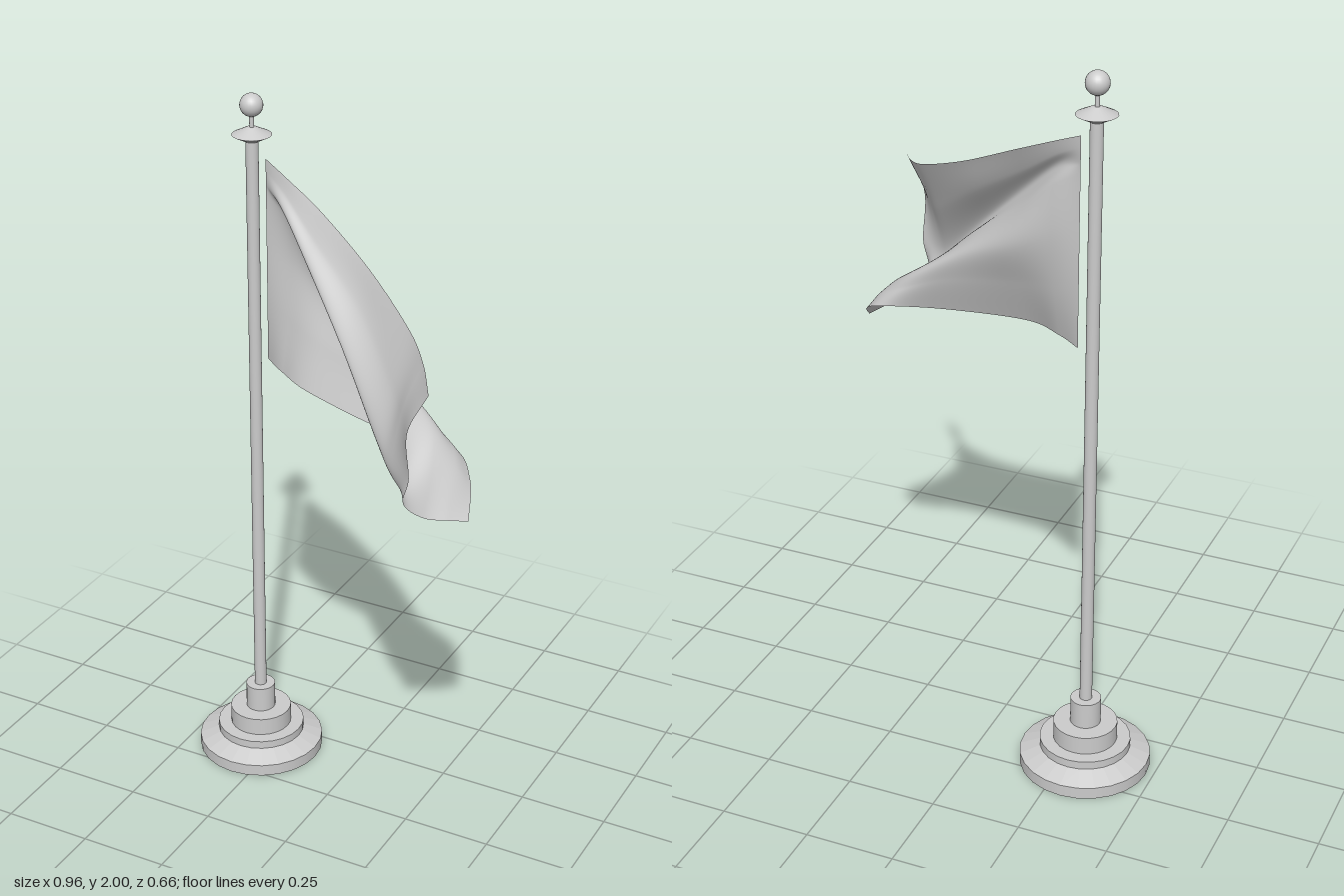
import * as THREE from 'three';
import { ParametricGeometry } from 'three/addons/geometries/ParametricGeometry.js';

const POLE_X = -0.3, POLE_Z = -0.15;

export function createModel() {
  const root = new THREE.Group();
  root.name = 'flagOnStand';
  const smooth = new THREE.MeshStandardMaterial({ color: 0xcccccc });
  const faceted = new THREE.MeshStandardMaterial({ color: 0xcccccc, flatShading: true });
  const cloth = new THREE.MeshStandardMaterial({ color: 0xcccccc, side: THREE.DoubleSide });

  const stand = new THREE.Group();
  stand.name = 'stand';
  stand.position.set(POLE_X, 0, POLE_Z);
  root.add(stand);

  // Upright round part between two heights
  const turned = (name, rBottom, rTop, y0, y1, material = smooth) => {
    const mesh = new THREE.Mesh(new THREE.CylinderGeometry(rTop, rBottom, y1 - y0, 24), material);
    mesh.name = name;
    mesh.position.y = (y0 + y1) / 2;
    stand.add(mesh);
  };

  // Stepped base
  turned('baseRim', 0.18, 0.18, 0, 0.034);
  turned('baseSlope', 0.18, 0.125, 0.034, 0.057, faceted);
  turned('baseLowerStep', 0.125, 0.125, 0.057, 0.08);
  turned('baseUpperStep', 0.088, 0.088, 0.08, 0.132);
  turned('poleSocket', 0.042, 0.042, 0.132, 0.207);

  // Pole and its top ornament
  turned('pole', 0.017, 0.017, 0.2, 1.875);
  turned('collarUnderside', 0.018, 0.053, 1.872, 1.89);
  turned('collarTop', 0.053, 0.012, 1.89, 1.91);
  turned('finialStem', 0.006, 0.006, 1.9, 1.95);
  const ball = new THREE.Mesh(new THREE.SphereGeometry(0.031, 24, 16), smooth);
  ball.name = 'finialBall';
  ball.position.y = 1.969;
  stand.add(ball);

  // Flag: cross-sections from hoist to fly. Each lists the top edge, upper panel,
  // front fold, tuck, back fold, lower panel and bottom edge.
  const sections = [
    [[-0.26, 1.83, -0.15], [-0.26, 1.8, -0.15], [-0.26, 1.765, -0.15], [-0.26, 1.73, -0.15],
      [-0.26, 1.6, -0.15], [-0.26, 1.43, -0.15], [-0.26, 1.26, -0.15]],
    [[-0.18, 1.795, -0.125], [-0.182, 1.757, -0.114], [-0.182, 1.72, -0.097], [-0.18, 1.68, -0.13],
      [-0.18, 1.56, -0.142], [-0.182, 1.4, -0.122], [-0.186, 1.258, -0.095]],
    [[-0.06, 1.74, -0.085], [-0.065, 1.675, -0.055], [-0.065, 1.612, -0.018], [-0.06, 1.57, -0.08],
      [-0.055, 1.49, -0.112], [-0.06, 1.37, -0.075], [-0.068, 1.25, -0.032]],
    [[0.12, 1.65, 0], [0.11, 1.56, 0.035], [0.095, 1.46, 0.095], [0.105, 1.445, 0.02],
      [0.115, 1.41, -0.042], [0.15, 1.32, -0.025], [0.185, 1.215, 0.01]],
    [[0.29, 1.57, 0.12], [0.27, 1.44, 0.168], [0.252, 1.297, 0.216], [0.275, 1.28, 0.12],
      [0.3, 1.29, 0.025], [0.33, 1.245, 0], [0.36, 1.2, -0.01]],
    [[0.375, 1.535, 0.215], [0.335, 1.41, 0.245], [0.318, 1.255, 0.268], [0.328, 1.21, 0.215],
      [0.36, 1.225, 0.115], [0.4, 1.2, 0.068], [0.435, 1.155, 0.048]],
    [[0.44, 1.51, 0.32], [0.388, 1.4, 0.325], [0.385, 1.265, 0.305], [0.365, 1.185, 0.292],
      [0.395, 1.128, 0.24], [0.44, 1.105, 0.185], [0.475, 1.09, 0.14]],
  ].map((pts) => spline(pts.map((p) => new THREE.Vector3(...p))));

  const flagSurface = (u, v, target) =>
    spline(sections.map((s) => s.getPoint(1 - v))).getPoint(u, target);
  const flag = new THREE.Mesh(new ParametricGeometry(flagSurface, 72, 64), cloth);
  flag.name = 'flag';
  root.add(flag);

  return root;
}

function spline(points) {
  return new THREE.CatmullRomCurve3(points, false, 'catmullrom', 0.5);
}
